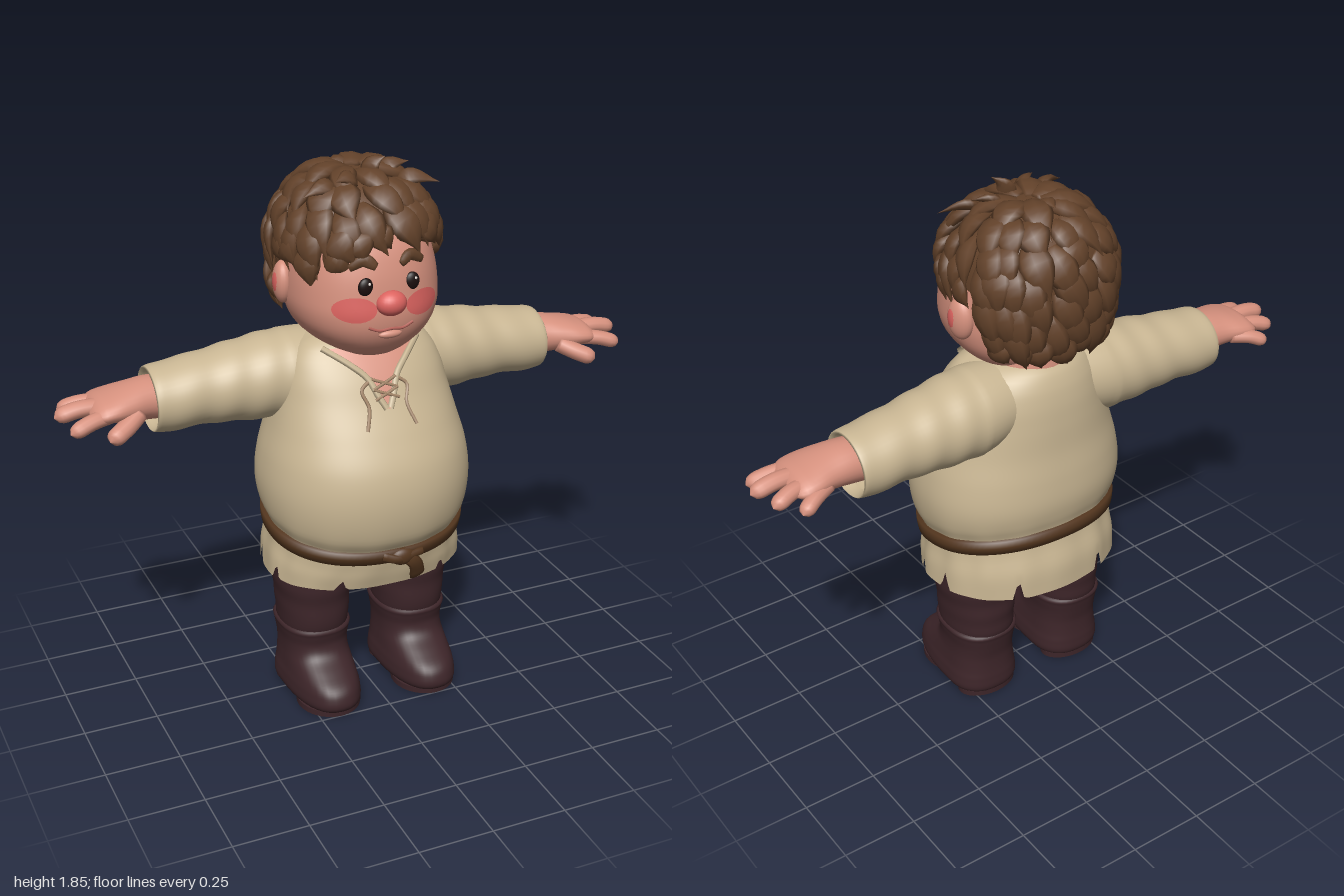
import * as THREE from 'three';
import { mergeGeometries } from 'three/addons/utils/BufferGeometryUtils.js';

const V = (x, y, z) => new THREE.Vector3(x, y, z);
const mat = (name, color, side = THREE.FrontSide) => {
  const m = new THREE.MeshStandardMaterial({ color, side });
  m.name = name;
  return m;
};
const spow = (v, p) => Math.sign(v) * Math.abs(v) ** p;

// Smooth interpolation through rows of [t, a, b, ...]
function spline(rows) {
  const n = rows[0].length - 1;
  const it = new THREE.CubicInterpolant(rows.map(r => r[0]), rows.flatMap(r => r.slice(1)), n);
  return t => Array.from(it.evaluate(t));
}

// Skin closed loops f(t, angle) into a surface, facing outward, with optional end caps
function loft(rows, segs, f, capA = true, capB = true) {
  const pos = [], idx = [];
  for (let i = 0; i <= rows; i++)
    for (let j = 0; j < segs; j++) pos.push(...f(i / rows, j / segs * Math.PI * 2).toArray());
  for (let i = 0; i < rows; i++)
    for (let j = 0; j < segs; j++) {
      const a = i * segs + j, b = i * segs + (j + 1) % segs;
      idx.push(a, a + segs, b, b, a + segs, b + segs);
    }
  const cap = (row, flip) => {
    const c = V(0, 0, 0), k = pos.length / 3;
    for (let j = 0; j < segs; j++) c.add(V().fromArray(pos, (row * segs + j) * 3));
    pos.push(...c.divideScalar(segs).toArray());
    for (let j = 0; j < segs; j++) {
      const a = row * segs + j, b = row * segs + (j + 1) % segs;
      idx.push(k, flip ? b : a, flip ? a : b);
    }
  };
  if (capA) cap(0, false);
  if (capB) cap(rows, true);
  const g = new THREE.BufferGeometry();
  g.setAttribute('position', new THREE.Float32BufferAttribute(pos, 3));
  g.computeBoundingBox();
  const mid = g.boundingBox.getCenter(V());
  const p = k => V().fromArray(pos, k * 3).sub(mid);
  let vol = 0;
  for (let i = 0; i < idx.length; i += 3) vol += p(idx[i]).dot(p(idx[i + 1]).cross(p(idx[i + 2])));
  if (vol < 0) idx.reverse();
  g.setIndex(idx);
  g.computeVertexNormals();
  return g;
}

// Tapered, flattened strand along points; up is the thickness direction
function sweep(points, width, flat, up, rows = 8, segs = 8) {
  const c = new THREE.CatmullRomCurve3(points);
  return loft(rows, segs, (s, a) => {
    const t = c.getTangent(s), b = t.clone().cross(up).normalize(), n = b.clone().cross(t);
    const w = width(s);
    return c.getPoint(s).addScaledVector(b, Math.cos(a) * w).addScaledVector(n, Math.sin(a) * w * flat);
  });
}

// Upright body made of rounded sections [y, halfWidth, zFront, zBack, tilt]
function body(rows, cz, n) {
  const at = spline(rows);
  return {
    point(v, a) {
      const [w, zf, zb, k = 0] = at(v), s = Math.sin(a);
      const z = cz + (s > 0 ? zf - cz : cz - zb) * spow(s, 2 / n);
      return V(w * spow(Math.cos(a), 2 / n), v - 0.17 * z * k, z);
    },
    front(x, y, off = 0) {
      const [w, zf] = at(y);
      return V(x, y, cz + (zf - cz) * Math.max(0, 1 - Math.abs(x / w) ** n) ** (1 / n) + off);
    },
  };
}

// Lay a flat geometry onto the front of a body
function drape(g, surf, map, off) {
  const p = g.attributes.position;
  for (let i = 0; i < p.count; i++) {
    const [x, y] = map(p.getX(i), p.getY(i));
    p.setXYZ(i, ...surf.front(x, y, off).toArray());
  }
  g.computeVertexNormals();
  return g;
}

export function createModel() {
  const M = {
    skin: mat('skin', 0xd6917e), blush: mat('blush', 0xdd6460), hair: mat('hair', 0x63422a, THREE.DoubleSide),
    cloth: mat('linen', 0xc9b693, THREE.DoubleSide), dark: mat('darkTrousers', 0x3d2529),
    leather: mat('beltLeather', 0x55371f), eye: mat('eye', 0x1c100f), cord: mat('cord', 0xa5876a),
    white: mat('eyeGlint', 0xf0e8e0), lip: mat('lip', 0xb9655c),
  };
  const model = new THREE.Group();
  const add = (name, g, m) => {
    const mesh = new THREE.Mesh(g, m);
    mesh.name = name;
    model.add(mesh);
    return mesh;
  };
  const ball = (name, m, p, s) => {
    const b = add(name, new THREE.SphereGeometry(1, 24, 16), m);
    b.position.set(...p);
    b.scale.set(...s);
    return b;
  };
  const round = (r, tip = 0.75) => s => r * (s < tip ? 1 : Math.sqrt(Math.max(0.0004, 1 - ((s - tip) / (1 - tip)) ** 2)));

  // Tunic with tilted waist and torn hem
  const torso = body([
    [0.475, 0.342, 0.25, -0.292, 0.1], [0.54, 0.337, 0.263, -0.288, 0.6], [0.6, 0.326, 0.272, -0.268, 1],
    [0.66, 0.325, 0.285, -0.262, 1], [0.71, 0.345, 0.315, -0.275, 0.9], [0.8, 0.357, 0.335, -0.285, 0.4],
    [0.9, 0.345, 0.32, -0.28, 0.1], [1, 0.317, 0.27, -0.267, 0], [1.1, 0.29, 0.21, -0.26, 0],
    [1.18, 0.268, 0.165, -0.25, 0], [1.24, 0.235, 0.12, -0.232, 0], [1.28, 0.185, 0.08, -0.205, 0],
    [1.3, 0.12, 0.04, -0.17, 0]], 0, 2.2);
  const tears = [0.22, -0.2, 2.05, 2.92, 3.34, 4.3, 5.2, 1.0];
  add('tunic', loft(56, 160, (t, a) => {
    let cut = 0;
    for (const k of tears) {
      const d = Math.abs(Math.atan2(Math.sin(a - k), Math.cos(a - k)));
      cut = Math.max(cut, 0.06 * Math.max(0, 1 - d / 0.06));
    }
    const v = 0.475 + 0.825 * t;
    const p = torso.point(v + cut * Math.max(0, 1 - t * 10), a);
    const ruffle = 1 + 0.009 * Math.sin(a * 15) * Math.exp(-(((v - 0.58) / 0.1) ** 2));
    return p.set(p.x * ruffle, p.y, p.z * ruffle);
  }, false, true), M.cloth);

  // Belt, knot and hanging ends
  const strap = [[-0.026, -0.01], [-0.024, 0.013], [0, 0.017], [0.024, 0.013], [0.026, -0.01]];
  add('belt', loft(4, 96, (t, a) => {
    const [dv, off] = strap[Math.round(t * 4)], p = torso.point(0.645 + dv, a), k = 1 + off / 0.3;
    return p.set(p.x * k, p.y, p.z * k);
  }, false, false), M.leather);
  ball('beltKnot', M.leather, [0.02, 0.592, 0.295], [0.042, 0.03, 0.02]);
  add('beltEndLong', sweep([V(0.015, 0.6, 0.3), V(0.06, 0.565, 0.302), V(0.085, 0.5, 0.272)],
    s => 0.02 + 0.008 * s, 0.35, V(0, 0, 1)), M.leather);
  add('beltEndShort', sweep([V(-0.05, 0.605, 0.297), V(0, 0.59, 0.308), V(0.09, 0.6, 0.297)],
    () => 0.015, 0.5, V(0, 0, 1)), M.leather);

  // Open neckline with rim and lacing
  const neckHalf = spline([[1.09, 0.006], [1.14, 0.032], [1.18, 0.05], [1.22, 0.095], [1.265, 0.165]]);
  add('openCollar', drape(new THREE.PlaneGeometry(2, 1, 20, 16), torso, (u, v) => {
    const y = 1.09 + (v + 0.5) * 0.175;
    return [u * neckHalf(y)[0], y];
  }, 0.008), M.skin);
  const cord = (name, pts, r, m, off) => add(name, new THREE.TubeGeometry(
    new THREE.CatmullRomCurve3(pts.map(([x, y]) => torso.front(x, y, off))), 16, r, 6), m);
  for (const s of [1, -1]) {
    cord('collarRim', [1.09, 1.13, 1.18, 1.22, 1.265].map(y => [s * neckHalf(y)[0], y]), 0.011, M.cloth, 0.007);
    for (const y of [1.12, 1.15]) cord('lacing', [[-s * 0.042, y], [0, y + 0.015], [s * 0.042, y + 0.03]], 0.005, M.cord, 0.016);
    cord('laceEnd', [[s * 0.035, 1.18], [s * 0.078, 1.15], [s * 0.065, 1.1], [s * 0.085, 1.035]], 0.006, M.cord, 0.01);
  }

  // Head and neck
  const head = body([
    [1.235, 0.06, 0.12, -0.08], [1.25, 0.105, 0.155, -0.12], [1.29, 0.172, 0.2, -0.165], [1.34, 0.218, 0.23, -0.19],
    [1.4, 0.241, 0.24, -0.2], [1.46, 0.243, 0.234, -0.205], [1.54, 0.232, 0.22, -0.21], [1.62, 0.21, 0.19, -0.2],
    [1.7, 0.165, 0.13, -0.16], [1.76, 0.07, 0.04, -0.1]], -0.02, 2.3);
  add('head', loft(36, 56, (t, a) => head.point(1.235 + 0.525 * t, a)), M.skin);
  add('neck', new THREE.CylinderGeometry(0.13, 0.155, 0.16, 32).translate(0, 1.29, -0.06), M.skin);
  ball('nose', M.blush, [0, 1.447, 0.235], [0.05, 0.04, 0.04]);
  const line = (name, pts, r, m) => add(name, new THREE.TubeGeometry(
    new THREE.CatmullRomCurve3(pts.map(([x, y]) => head.front(x, y, 0))), 16, r, 6), m);
  line('mouth', [[-0.075, 1.375], [-0.04, 1.362], [0, 1.365], [0.04, 1.362], [0.075, 1.375]], 0.005, M.lip);
  ball('lowerLip', M.skin, [0, 1.345, 0.228], [0.04, 0.014, 0.016]);
  for (const s of [1, -1]) {
    add('cheek', drape(new THREE.RingGeometry(0, 1, 28, 5), head,
      (x, y) => [s * 0.113 + x * 0.064, 1.433 + y * 0.04], 0.005), M.blush);
    const e = head.front(s * 0.078, 1.503);
    ball('eye', M.eye, [e.x, e.y, e.z - 0.003], [0.025, 0.029, 0.014]);
    ball('eyeGlint', M.white, [e.x + 0.008, e.y + 0.011, e.z + 0.008], [0.005, 0.005, 0.003]);
    add('eyebrow', sweep([[0.042, 1.562], [0.075, 1.583], [0.122, 1.56]].map(([x, y]) => head.front(s * x, y, 0.004)),
      t => 0.008 + 0.013 * Math.sin(Math.PI * (0.1 + 0.8 * t)), 0.5, V(0, 0, 1)), M.hair);
    ball('ear', M.skin, [s * 0.243, 1.46, -0.055], [0.034, 0.07, 0.048]).rotation.y = s * 0.25;
    ball('innerEar', M.blush, [s * 0.262, 1.462, -0.047], [0.017, 0.044, 0.028]);
  }

  // Hair: a cap covered by overlapping swept locks
  let seed = 7;
  const rand = () => (seed = (seed * 16807) % 2147483647) / 2147483647;
  const scalp = (th, az, r) => {
    const c = Math.cos(th), s = Math.sin(th) ** (th > Math.PI / 2 ? 0.4 : 0.9), f = Math.cos(az);
    return V(0.248 * r * s * spow(Math.sin(az), 0.85), 1.57 + (c > 0 ? 0.235 : 0.29) * c * r,
      -0.08 + (f > 0 ? 0.275 : 0.222) * r * s * spow(f, 0.85));
  };
  const edge = [[0, 1.4], [0.8, 1.6], [1.1, 1.85], [1.4, 1.66], [1.7, 1.68], [1.95, 2.4], [3.2, 2.5]];
  const hairline = az => {
    const a = Math.abs(Math.atan2(Math.sin(az), Math.cos(az)));
    const i = Math.max(1, edge.findIndex(e => e[0] >= a)), [p, q] = [edge[i - 1], edge[i]];
    return THREE.MathUtils.mapLinear(a, p[0], q[0], p[1], q[1]);
  };
  add('hairCap', loft(18, 64, (t, a) => scalp(0.02 + t * (hairline(a) - 0.12), a, 0.97), true, false), M.hair);
  const locks = [];
  const taper = w => s => w * (0.45 + 0.55 * Math.sin(Math.PI * Math.min(1, s * 1.1))) * Math.max(0.03, 1 - s ** 3);
  [0.1, 0.45, 0.8, 1.12, 1.42, 1.72, 2.02].forEach((th0, row) => {
    const n = Math.round(7 + 15 * Math.sin(Math.min(th0, 1.5)));
    for (let i = 0; i < n; i++) {
      const az = (i + row * 0.5 + rand() * 0.5) / n * Math.PI * 2, start = th0 + (rand() - 0.5) * 0.15;
      const max = hairline(az) + (rand() - 0.4) * 0.16;
      if (start > max - 0.22) continue;
      const end = Math.min(start + 0.6 + rand() * 0.2, max), turn = 0.1 + rand() * 0.25, lift = 0.04 + rand() * 0.07;
      const pts = [0, 0.33, 0.67, 1].map(s =>
        scalp(start + (end - start) * s, az + turn * s, 0.97 + 0.06 * Math.sin(Math.PI * s) + lift * s * s));
      const up = scalp((start + end) / 2, az, 1).sub(V(0, 1.57, -0.08)).normalize();
      locks.push(sweep(pts, taper(0.046 + rand() * 0.014), 0.45, up));
    }
  });
  for (const [x, z, dx, dy, dz] of [[0.02, 0, 0.05, 0.07, 0.03], [0.08, -0.03, 0.09, 0.035, 0.02], [-0.03, 0.03, -0.09, 0.02, 0.05],
    [0.12, 0.02, 0.12, -0.02, 0.05], [-0.1, 0.03, -0.12, -0.02, 0.04], [-0.02, -0.1, 0.01, 0.03, -0.09]])
    locks.push(sweep([V(x, 1.77, z), V(x + dx * 0.35, 1.79 + dy * 0.5, z + dz * 0.4), V(x + dx, 1.78 + dy, z + dz)],
      taper(0.036), 0.5, V(-dx, 0.3, 0.2).normalize()));
  add('hairLocks', mergeGeometries(locks), M.hair);

  // Sleeves, arms and hands
  const sleeve = spline([[0, 0.1, 1.16, 0.125, -0.08, 0.13], [0.25, 0.24, 1.145, 0.143, -0.083, 0.148],
    [0.45, 0.36, 1.138, 0.135, -0.088, 0.14], [0.7, 0.52, 1.13, 0.117, -0.093, 0.125], [0.93, 0.685, 1.116, 0.106, -0.095, 0.115],
    [0.96, 0.692, 1.116, 0.1, -0.095, 0.108], [1, 0.66, 1.118, 0.086, -0.095, 0.094]]);
  const arm = spline([[0, 0.6, 1.122, 0.07, -0.09, 0.078], [0.3, 0.7, 1.13, 0.068, -0.086, 0.084], [0.5, 0.76, 1.13, 0.06, -0.08, 0.094],
    [0.75, 0.83, 1.128, 0.045, -0.08, 0.108], [0.93, 0.875, 1.122, 0.034, -0.082, 0.1], [1, 0.895, 1.12, 0.014, -0.085, 0.08]]);
  const fingers = [
    [0.032, [0.75, 1.11, -0.01], [0.8, 1.085, 0.025], [0.86, 1.06, 0.055]],
    [0.028, [0.83, 1.12, -0.015], [0.9, 1.112, 0.002], [0.972, 1.09, 0.02]],
    [0.03, [0.83, 1.13, -0.07], [0.92, 1.132, -0.07], [1, 1.115, -0.07]],
    [0.028, [0.82, 1.125, -0.125], [0.9, 1.125, -0.138], [0.972, 1.105, -0.158]],
    [0.026, [0.79, 1.115, -0.155], [0.85, 1.108, -0.185], [0.905, 1.085, -0.212]]];
  for (const s of [1, -1]) {
    add('sleeve', loft(48, 40, (t, a) => {
      const [x, y, ry, z, rz] = sleeve(t), k = 1 + 0.016 * Math.sin(t * 34 + 1.5 * Math.sin(a)) * (t > 0.25 ? 1 : 0);
      return V(s * x, y + ry * k * Math.sin(a), z + rz * k * Math.cos(a));
    }, false, false), M.cloth);
    add('hand', loft(20, 28, (t, a) => {
      const [x, y, ry, z, rz] = arm(t);
      return V(s * x, y + ry * Math.sin(a), z + rz * Math.cos(a));
    }), M.skin);
    for (const [r, ...p] of fingers)
      add('finger', sweep(p.map(([x, y, z]) => V(s * x, y, z)), round(r), 0.9, V(0, 1, 0), 14, 12), M.skin);
  }

  // Trousers and boots
  ball('hips', M.dark, [0, 0.57, -0.015], [0.3, 0.12, 0.2]);
  const leg = body([[0.22, 0.1, 0.105, -0.13], [0.27, 0.117, 0.13, -0.155], [0.33, 0.12, 0.132, -0.158],
    [0.42, 0.13, 0.14, -0.162], [0.5, 0.135, 0.145, -0.17], [0.6, 0.135, 0.14, -0.17]], -0.01, 2.2);
  const boot = body([[0.008, 0.105, 0.235, -0.13], [0.025, 0.12, 0.262, -0.143], [0.07, 0.122, 0.265, -0.145], [0.1, 0.117, 0.245, -0.142],
    [0.13, 0.114, 0.195, -0.14], [0.16, 0.112, 0.145, -0.14], [0.2, 0.113, 0.124, -0.146], [0.245, 0.12, 0.13, -0.154],
    [0.262, 0.121, 0.132, -0.156], [0.27, 0.105, 0.115, -0.14]], -0.02, 2.4);
  for (const s of [1, -1]) {
    const x = s * 0.178;
    add('trouserLeg', loft(24, 36, (t, a) => {
      const p = leg.point(0.22 + 0.38 * t, a), k = 1 + 0.012 * Math.sin(t * 26 + Math.sin(a));
      return V(p.x * k + x, p.y, p.z * k);
    }), M.dark);
    add('boot', loft(40, 40, (t, a) => boot.point(0.008 + 0.262 * t, a).add(V(x, 0, 0))), M.dark);
    for (const [name, z, rz] of [['heel', -0.07, 0.07], ['sole', 0.13, 0.12]])
      add(name, new THREE.CylinderGeometry(1, 1, 0.02, 28).scale(0.108, 1, rz).translate(x, 0.01, z), M.dark);
  }
  return model;
}
